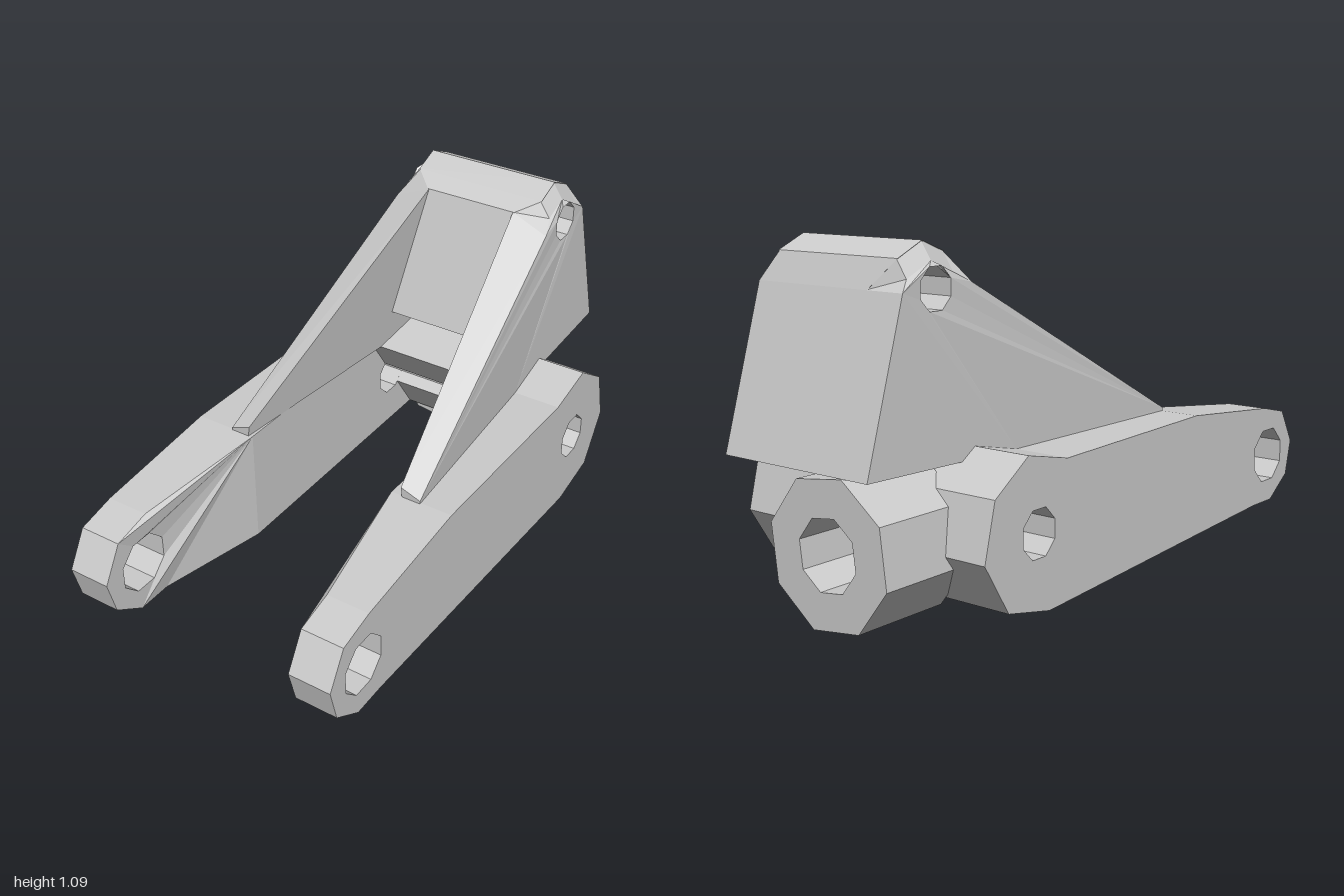
import * as THREE from 'three';

const lerp = THREE.MathUtils.lerp;
const clamp01 = (t) => THREE.MathUtils.clamp(t, 0, 1);
const material = new THREE.MeshStandardMaterial({ color: 0xcccccc, flatShading: true });

// Regular octagon as [a, b] points
function octagon(a, b, r, turn = Math.PI / 8) {
  return Array.from({ length: 8 }, (_, i) => {
    const t = turn + (i * Math.PI) / 4;
    return [a + r * Math.cos(t), b + r * Math.sin(t)];
  });
}

// Plate with a (z, y) side profile; each face maps (z, y) to its own [x, y]
function slab(name, profile, holes, from, to) {
  const toPoints = (list) => list.map(([z, y]) => new THREE.Vector2(-z, y)).reverse();
  const shape = new THREE.Shape(toPoints(profile));
  holes.forEach((h) => shape.holes.push(new THREE.Path(toPoints(h))));
  const geo = new THREE.ExtrudeGeometry(shape, { depth: 1, bevelEnabled: false });
  const p = geo.attributes.position;
  for (let i = 0; i < p.count; i++) {
    const z = -p.getX(i);
    const [x, y] = (p.getZ(i) < 0.5 ? from : to)(z, p.getY(i));
    p.setXYZ(i, x, y, z);
  }
  geo.computeVertexNormals();
  const mesh = new THREE.Mesh(geo, material);
  mesh.name = name;
  return mesh;
}

const mirrored = (face) => (z, y) => {
  const [x, h] = face(z, y);
  return [-x, h];
};

// Mirrored pair of plates between an inner and an outer face
function pair(group, name, profile, holes, inner, outer) {
  group.add(
    slab('left' + name, profile, holes, inner, outer),
    slab('right' + name, profile, holes, mirrored(outer), mirrored(inner)),
  );
}

export function createModel() {
  const model = new THREE.Group();
  model.name = 'hingedBracket';

  // Side arms: the front part thins toward its eye, the rear part is chamfered underneath
  const frontArm = [
    [1, 0.27], [0.93, 0.39], [0.8, 0.42], [0.34, 0.465], [0.34, 0.052], [0.74, 0.075], [0.86, 0.075], [0.97, 0.15],
  ];
  const rearArm = [
    [0.34, 0.465], [-0.375, 0.45], [-0.56, 0.49], [-0.71, 0.39],
    [-0.755, 0.21], [-0.65, 0.045], [-0.46, 0.005], [0.34, 0.052],
  ];
  const armOuter = (z, y) => [0.487, y];
  pair(model, 'FrontArm', frontArm, [octagon(0.83, 0.245, 0.1)],
    (z, y) => [lerp(0.27, 0.342, clamp01((z - 0.34) / 0.4)), y], armOuter);
  pair(model, 'RearArm', rearArm, [octagon(-0.51, 0.25, 0.08)],
    (z, y) => [y < 0.03 ? 0.345 : 0.27, y], armOuter);

  // Crossbar between the arms, with the pin groove in its sloping front
  const barProfile = [
    [-0.375, 0.45], [-0.56, 0.49], [-0.71, 0.39], [-0.755, 0.21], [-0.65, 0.045],
    [-0.553, 0.188], [-0.584, 0.219], [-0.584, 0.281], [-0.541, 0.324], [-0.479, 0.324], [-0.468, 0.313],
  ];
  const barEnd = (z, y) => [0.27, y];
  model.add(slab('crossbar', barProfile, [], mirrored(barEnd), barEnd));

  // Rear socket: octagonal barrel with a bore
  const ring = (r) => octagon(-0.12, 0.229, r, Math.PI / 12).map(([x, y]) => new THREE.Vector2(x, y));
  const barrelShape = new THREE.Shape(ring(0.236));
  barrelShape.holes.push(new THREE.Path(ring(0.115)));
  const barrel = new THREE.Mesh(
    new THREE.ExtrudeGeometry(barrelShape, { depth: 0.34, bevelEnabled: false }), material);
  barrel.position.z = -1;
  barrel.name = 'rearSocket';
  model.add(barrel);

  // Hood: two leaning side plates joined by a body at the back
  const hood = new THREE.Group();
  hood.name = 'hood';
  hood.position.x = 0.014;
  const pinHole = octagon(-0.71, 0.962, 0.068);
  const crown = [[-0.56, 1.025], [-0.62, 1.06], [-0.71, 1.095], [-0.81, 1.05], [-0.845, 0.96], [-0.995, 0.457]];
  const hoodInner = (z, y) => [y > 1.04 ? 0.235 : 0.3224 + 0.0774 * z - 0.1118 * y, y];

  // The outer face stops below the rim, so the top edge slopes outward
  const hoodOuter = (z, y) => {
    const side = lerp(0.29, 0.363, clamp01((z + 0.6) / 0.94));
    const onRim = y > 1 && Math.hypot(z + 0.71, y - 0.962) > 0.08;
    if (onRim) return [y > 1.04 ? 0.272 : side, y - 0.055];
    return [side, z > 0.3 && y > 0.48 ? y - 0.025 : y];
  };
  pair(hood, 'HoodSide', [[0.345, 0.465], [0.345, 0.5], ...crown, [-0.375, 0.449]], [pinHole], hoodInner, hoodOuter);

  const bodyEnd = (z, y) => [hoodInner(z, y)[0] + 0.005, y];
  hood.add(slab('hoodBody', [[-0.42, 0.58], ...crown], [pinHole], mirrored(bodyEnd), bodyEnd));
  model.add(hood);

  return model;
}
